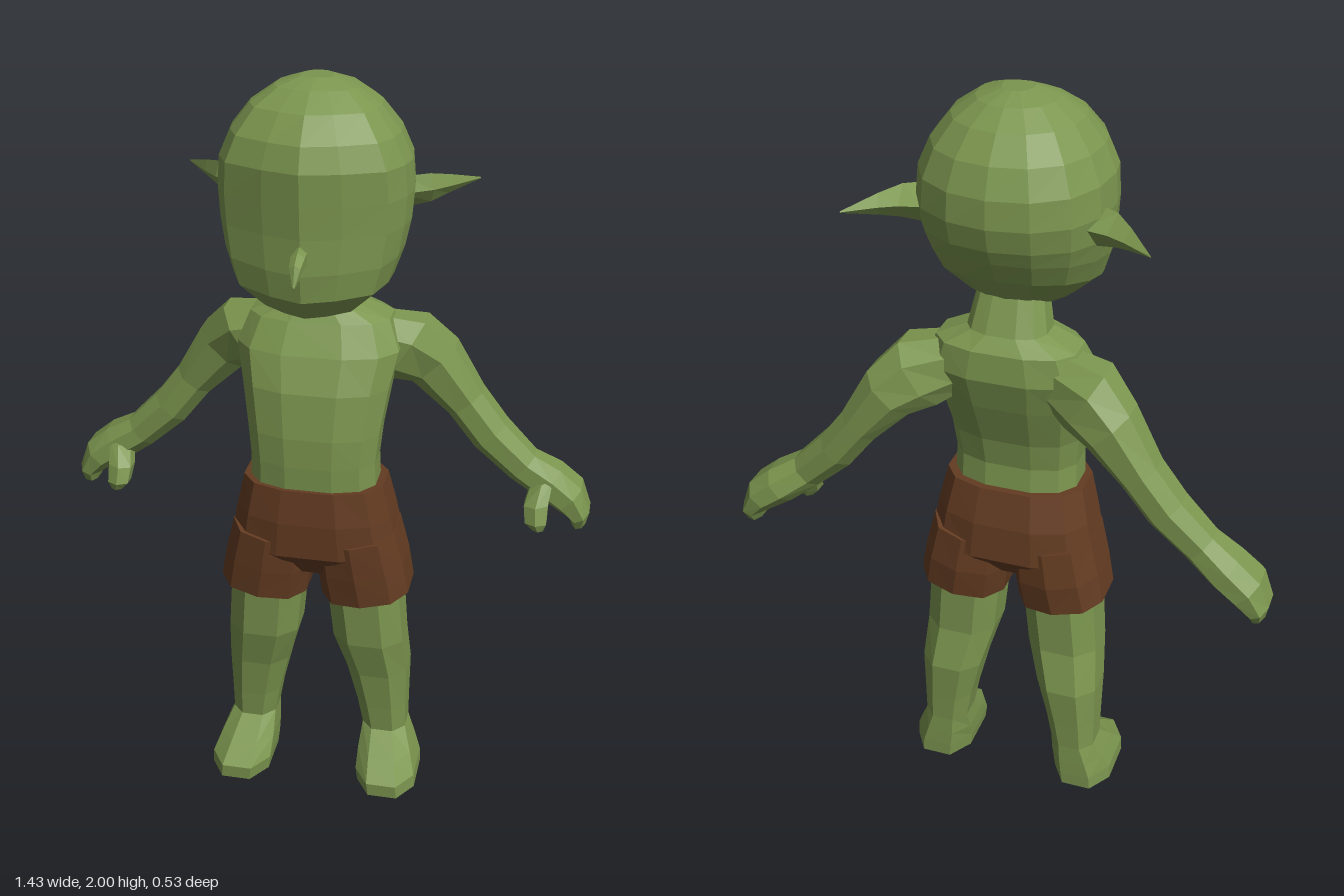
import * as THREE from 'three';

const skin = new THREE.MeshStandardMaterial({ color: 0x7c964f });
skin.name = 'green skin';
const cloth = new THREE.MeshStandardMaterial({ color: 0x643c22 });
cloth.name = 'brown cloth';

// Ring of n points around c, spanned by half-axes u and v; power < 1 squares it off.
function ring(c, u, v, n = 8, power = 1) {
  const soft = (s) => Math.sign(s) * Math.abs(s) ** power;
  return Array.from({ length: n }, (_, i) => {
    const t = ((i + 0.5) / n) * Math.PI * 2;
    const a = soft(Math.cos(t)), b = soft(Math.sin(t));
    return c.map((k, d) => k + u[d] * a + v[d] * b);
  });
}

// Level ring filling x0..x1 and z0..z1 at height y; lean lowers the inner edge.
const level = ([y, x0, x1, z0, z1], n = 8, power = 0.8, lean = 0) =>
  ring([(x0 + x1) / 2, y, (z0 + z1) / 2], [(x1 - x0) / 2, lean, 0], [0, 0, (z1 - z0) / 2], n, power);

// Ring across a limb that runs in the xy plane at angle deg.
const cross = ([x, y, z, deg, thick, wide], n = 8) => {
  const a = THREE.MathUtils.degToRad(deg);
  return ring([x, y, z], [-Math.sin(a) * thick, Math.cos(a) * thick, 0], [0, 0, wide], n, 0.9);
};

// Closed faceted skin through the rings; side = -1 mirrors it in x.
function loft(name, material, rings, side = 1) {
  const n = rings[0].length, tris = [];
  for (let r = 0; r + 1 < rings.length; r++) {
    for (let j = 0; j < n; j++) {
      const k = (j + 1) % n;
      const a = rings[r][j], b = rings[r][k], c = rings[r + 1][k], d = rings[r + 1][j];
      tris.push([a, b, c], [a, c, d]);
    }
  }
  const mid = (p) => [0, 1, 2].map((d) => p.reduce((s, q) => s + q[d], 0) / n);
  const first = rings[0], last = rings[rings.length - 1];
  const m0 = mid(first), m1 = mid(last);
  for (let j = 0; j < n; j++) {
    const k = (j + 1) % n;
    tris.push([m0, first[k], first[j]], [m1, last[j], last[k]]);
  }
  // Signed volume tells whether the faces point outward.
  let volume = 0;
  const v = tris.map((t) => t.map(([x, y, z]) => new THREE.Vector3(x * side, y, z)));
  v.forEach(([a, b, c]) => { volume += a.dot(b.clone().cross(c)); });
  if (volume < 0) v.forEach((t) => t.reverse());
  const geometry = new THREE.BufferGeometry().setFromPoints(v.flat());
  geometry.computeVertexNormals();
  const mesh = new THREE.Mesh(geometry, material);
  mesh.name = name;
  return mesh;
}

// Head: half plan with a keeled face, scaled per level and mirrored.
function head() {
  const plan = [[0, 1], [0.4, 0.87], [0.82, 0.64], [0.96, 0.3], [1, 0],
    [0.95, -0.38], [0.76, -0.72], [0.42, -0.93], [0, -1]];
  const full = [...plan, ...plan.slice(1, -1).reverse().map(([x, z]) => [-x, z])];
  // front height, back height, half width, front z, back z
  const levels = [
    [1.425, 1.46, 0.06, 0.07, -0.07],
    [1.445, 1.51, 0.13, 0.14, -0.12],
    [1.50, 1.58, 0.2, 0.185, -0.18],
    [1.57, 1.64, 0.222, 0.195, -0.215],
    [1.66, 1.68, 0.235, 0.195, -0.235],
    [1.74, 1.74, 0.24, 0.2, -0.25],
    [1.82, 1.81, 0.234, 0.205, -0.247],
    [1.88, 1.88, 0.205, 0.185, -0.22],
    [1.94, 1.94, 0.158, 0.135, -0.17],
    [1.98, 1.98, 0.1, 0.075, -0.115],
    [2.0, 2.0, 0.04, 0.02, -0.06],
  ];
  return loft('head', skin, levels.map(([yf, yb, w, zf, zb]) => {
    const zc = zf * 0.5 + zb * 0.5 + 0.02;
    return full.map(([x, z]) => [
      x * w, yb + (yf - yb) * (z + 1) / 2, zc + z * (z > 0 ? zf - zc : zc - zb),
    ]);
  }));
}

export function createModel() {
  const model = new THREE.Group();
  model.name = 'figure';
  model.add(head());

  // Drooping nose
  model.add(loft('nose', skin, [
    [1.615, 0.17, 0.02, 0.035], [1.617, 0.21, 0.02, 0.022],
    [1.602, 0.243, 0.016, 0.018], [1.568, 0.265, 0.003, 0.003],
  ].map(([y, z, w, h]) => ring([0, y, z], [w, 0, 0], [0, h, h * 0.4], 6))));

  // Torso running up into the neck
  model.add(loft('torso', skin, [
    [0.9, 0.172, -0.115, 0.108], [1.02, 0.168, -0.105, 0.115], [1.1, 0.176, -0.12, 0.115],
    [1.22, 0.195, -0.165, 0.102], [1.31, 0.215, -0.192, 0.068], [1.385, 0.185, -0.185, 0.025],
    [1.42, 0.105, -0.155, 0.005], [1.52, 0.085, -0.11, 0.01],
  ].map(([y, w, z0, z1]) => level([y, -w, w, z0, z1], 12, 0.75))));

  // Shorts: hips, then one trouser leg on each side
  model.add(loft('shortsHips', cloth, [
    [0.68, 0.1, -0.1, 0.06], [0.76, 0.232, -0.17, 0.128],
    [0.86, 0.212, -0.16, 0.132], [0.955, 0.19, -0.13, 0.122],
  ].map(([y, w, z0, z1]) => level([y, -w, w, z0, z1], 12, 0.75))));

  for (const side of [1, -1]) {
    const tag = side > 0 ? 'left' : 'right';
    const add = (part, material, rings) => model.add(loft(tag + part, material, rings, side));

    add('ShortsLeg', cloth, [
      [0.615, 0.018, 0.262, -0.16, 0.108], [0.7, 0.005, 0.247, -0.168, 0.118],
      [0.8, 0.0, 0.222, -0.16, 0.125],
    ].map((r) => level(r, 10, 0.8, 0.015)));

    // Leg and foot in one piece
    add('Leg', skin, [
      [0, 0.125, 0.3, -0.148, 0.125], [0.04, 0.12, 0.298, -0.15, 0.128],
      [0.085, 0.12, 0.28, -0.148, 0.07], [0.14, 0.125, 0.255, -0.145, 0.0],
      [0.22, 0.11, 0.256, -0.15, 0.01], [0.34, 0.08, 0.258, -0.16, 0.03],
      [0.46, 0.045, 0.25, -0.135, 0.065], [0.66, 0.025, 0.235, -0.14, 0.085],
    ].map((r) => level(r)));

    // Arm and mitten hand: x, y, z, angle, half thickness, half width
    add('Arm', skin, [
      [0.13, 1.31, -0.1, -15, 0.08, 0.07], [0.215, 1.285, -0.125, -32, 0.1, 0.09],
      [0.285, 1.235, -0.16, -46, 0.08, 0.08], [0.37, 1.125, -0.172, -53, 0.057, 0.068],
      [0.44, 1.035, -0.172, -48, 0.056, 0.066], [0.53, 0.95, -0.172, -42, 0.05, 0.058],
      [0.6, 0.905, -0.185, -38, 0.054, 0.075], [0.655, 0.865, -0.187, -48, 0.05, 0.08],
      [0.69, 0.815, -0.187, -65, 0.03, 0.07], [0.69, 0.785, -0.185, -75, 0.02, 0.05],
    ].map((r) => cross(r)));

    add('Thumb', skin, [
      [0.585, 0.92, -0.15, -70, 0.035, 0.04], [0.575, 0.87, -0.105, -85, 0.036, 0.038],
      [0.578, 0.825, -0.085, -90, 0.032, 0.032], [0.585, 0.802, -0.085, -90, 0.016, 0.02],
    ].map((r) => cross(r, 6)));

    // Pointed ear sweeping backwards
    add('Ear', skin, [
      [[0.2, 1.755, -0.05], [0.2, 1.715, -0.035], [0.2, 1.665, -0.09], [0.19, 1.72, -0.13]],
      [[0.265, 1.755, -0.09], [0.275, 1.715, -0.085], [0.265, 1.678, -0.11], [0.255, 1.72, -0.145]],
      [[0.31, 1.742, -0.135], [0.315, 1.715, -0.13], [0.305, 1.692, -0.145], [0.3, 1.718, -0.165]],
      [[0.375, 1.717, -0.21], [0.376, 1.715, -0.21], [0.375, 1.713, -0.21], [0.374, 1.715, -0.211]],
    ]);
  }
  return model;
}
